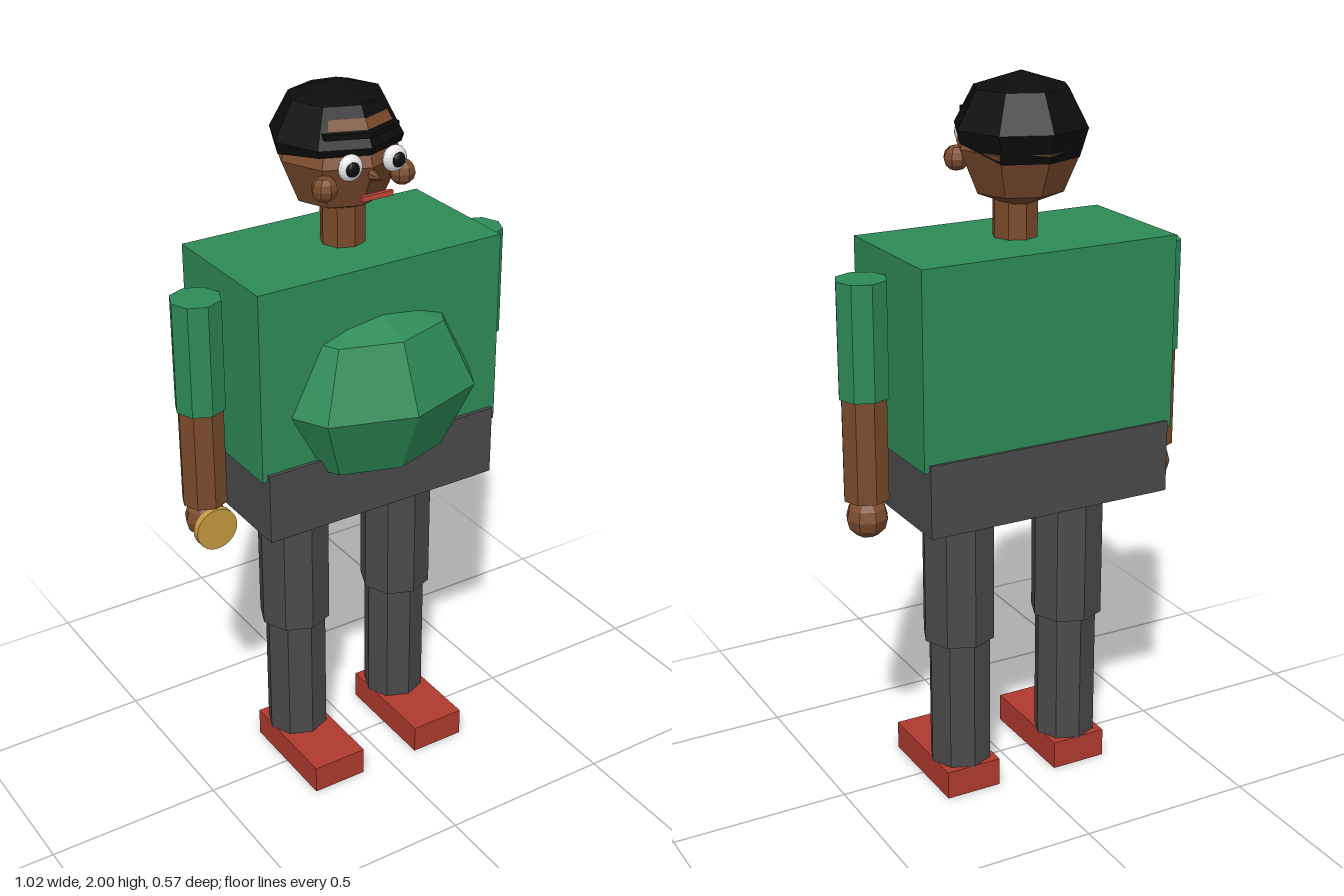
import * as THREE from 'three';

const mat = (name, color, extra = {}) =>
  Object.assign(new THREE.MeshStandardMaterial({ color, flatShading: true, ...extra }), { name });

export function createModel() {
  const green = mat('shirt green', 0x2e8b57);
  const skin = mat('brown skin', 0x7b4b2d, { side: THREE.DoubleSide });
  const grey = mat('trouser grey', 0x4a4a4a);
  const red = mat('shoe red', 0xb03a2e);
  const black = mat('hair black', 0x0c0c0c, { side: THREE.DoubleSide });
  const gold = mat('gold', 0xc59a40);
  const white = mat('eye white', 0xf2f2f2);
  const lip = mat('lip red', 0xc0473a);

  const model = new THREE.Group();
  model.name = 'standingFigure';
  const add = (name, geo, material, x, y, z) => {
    const m = new THREE.Mesh(geo, material);
    m.name = name;
    m.position.set(x, y, z);
    model.add(m);
    return m;
  };
  // Box given by its limits along each axis
  const box = (name, material, x0, x1, y0, y1, z0, z1) =>
    add(name, new THREE.BoxGeometry(x1 - x0, y1 - y0, z1 - z0), material,
      (x0 + x1) / 2, (y0 + y1) / 2, (z0 + z1) / 2);
  // Upright eight-sided column
  const column = (name, material, r, y0, y1, x, z) =>
    add(name, new THREE.CylinderGeometry(r, r, y1 - y0, 8), material, x, (y0 + y1) / 2, z);
  // Faceted ellipsoid
  const ball = (name, material, rx, ry, rz, x, y, z, w = 8, h = 4) =>
    add(name, new THREE.SphereGeometry(1, w, h).scale(rx, ry, rz), material, x, y, z);

  // Body
  box('torso', green, -0.37, 0.37, 1.04, 1.57, -0.28, 0.116);
  box('hips', grey, -0.356, 0.356, 0.86, 1.06, -0.288, 0.127);
  ball('belly', green, 0.325, 0.26, 0.256, 0, 1.205, 0.03);

  // Limbs
  for (const [side, s] of [['left', 1], ['right', -1]]) {
    column(side + 'Sleeve', green, 0.069, 1.2, 1.51, s * 0.441, -0.079);
    column(side + 'Forearm', skin, 0.063, 0.92, 1.2, s * 0.441, -0.079);
    ball(side + 'Hand', skin, 0.058, 0.056, 0.058, s * 0.441, 0.866, -0.079, 8, 6);
    column(side + 'Thigh', grey, 0.102, 0.46, 0.865, s * 0.172, -0.075);
    column(side + 'Shin', grey, 0.088, 0.08, 0.46, s * 0.17, -0.075);
    box(side + 'Shoe', red, s * 0.171 - 0.081, s * 0.171 + 0.081, 0, 0.082, -0.16, 0.165);
  }
  // Round gold disc held in the right hand
  add('goldDisc', new THREE.CylinderGeometry(0.06, 0.06, 0.022, 32).rotateX(Math.PI / 2),
    gold, -0.443, 0.86, -0.021);

  // Head and face
  column('neck', skin, 0.061, 1.56, 1.68, 0, -0.08);
  ball('head', skin, 0.17, 0.165, 0.165, 0, 1.812, -0.1);
  for (const [side, s] of [['left', 1], ['right', -1]]) {
    ball(side + 'Cheek', skin, 0.036, 0.034, 0.034, s * 0.117, 1.766, 0.022, 8, 6);
    ball(side + 'Eye', white, 0.035, 0.035, 0.02, s * 0.066, 1.824, 0.062, 16, 12);
    ball(side + 'Pupil', black, 0.02, 0.02, 0.011, s * 0.068, 1.824, 0.077, 12, 8);
  }
  const nose = add('nose', new THREE.ConeGeometry(0.015, 0.045, 6), skin, 0, 1.792, 0.083);
  nose.rotation.x = Math.PI / 2;
  box('mouth', lip, -0.046, 0.046, 1.737, 1.751, 0.076, 0.088);

  // Hair cap: dome whose lowest ring drops further at the back
  const hairY = 1.862, hairZ = -0.109, rx = 0.182, ry = 0.138, rz = 0.17;
  const cap = new THREE.SphereGeometry(1, 8, 3, 0, Math.PI * 2, 0, Math.PI * 0.75);
  const p = cap.attributes.position;
  for (let i = 0; i < p.count; i++) {
    const x = p.getX(i), y = p.getY(i), z = p.getZ(i);
    if (y < -0.1) {
      const drop = z > 0.1 ? 0.02 : z > -0.1 ? 0.032 : 0.075;
      const k = (z > -0.1 ? 0.96 : 0.87) * Math.SQRT2;
      p.setXYZ(i, x * k * rx, -drop, z * k * rz);
    } else p.setXYZ(i, x * rx, y * ry, z * rz);
  }
  add('hair', cap, black, 0, hairY, hairZ);

  // Point on the front facets of the cap: u across (-1..1), t up (0..1)
  const c = Math.SQRT1_2;
  const onCap = (u, t) => {
    const r = 1 - t * (1 - c);
    return [u * c * rx * r, hairY + t * c * ry, hairZ + rz * r * (1 - Math.abs(u) * (1 - c))];
  };

  // Bare forehead strip, a bent plate just over the cap
  const pts = [];
  for (const u of [-0.86, 0, 0.86])
    for (const t of [0.43, 0.71]) {
      const [x, y, z] = onCap(u, t);
      pts.push(x, y, z + 0.004);
    }
  const strip = new THREE.BufferGeometry();
  strip.setAttribute('position', new THREE.Float32BufferAttribute(pts, 3));
  strip.setIndex([0, 2, 1, 1, 2, 3, 2, 4, 3, 3, 4, 5]);
  strip.computeVertexNormals();
  add('foreheadStrip', strip, skin, 0, 0, 0);

  // Thin fringe edge below the strip
  const [ex, , ez] = onCap(0.95, 0.35), [, fy, fz] = onCap(0, 0.35);
  const edge = new THREE.Shape([[-ex, ez - 0.01], [0, fz - 0.01], [ex, ez - 0.01],
    [ex, ez + 0.016], [0, fz + 0.016], [-ex, ez + 0.016]].map(([x, z]) => new THREE.Vector2(x, z)));
  add('fringe', new THREE.ExtrudeGeometry(edge, { depth: 0.014, bevelEnabled: false })
    .rotateX(Math.PI / 2), black, 0, fy + 0.005, 0);

  return model;
}
